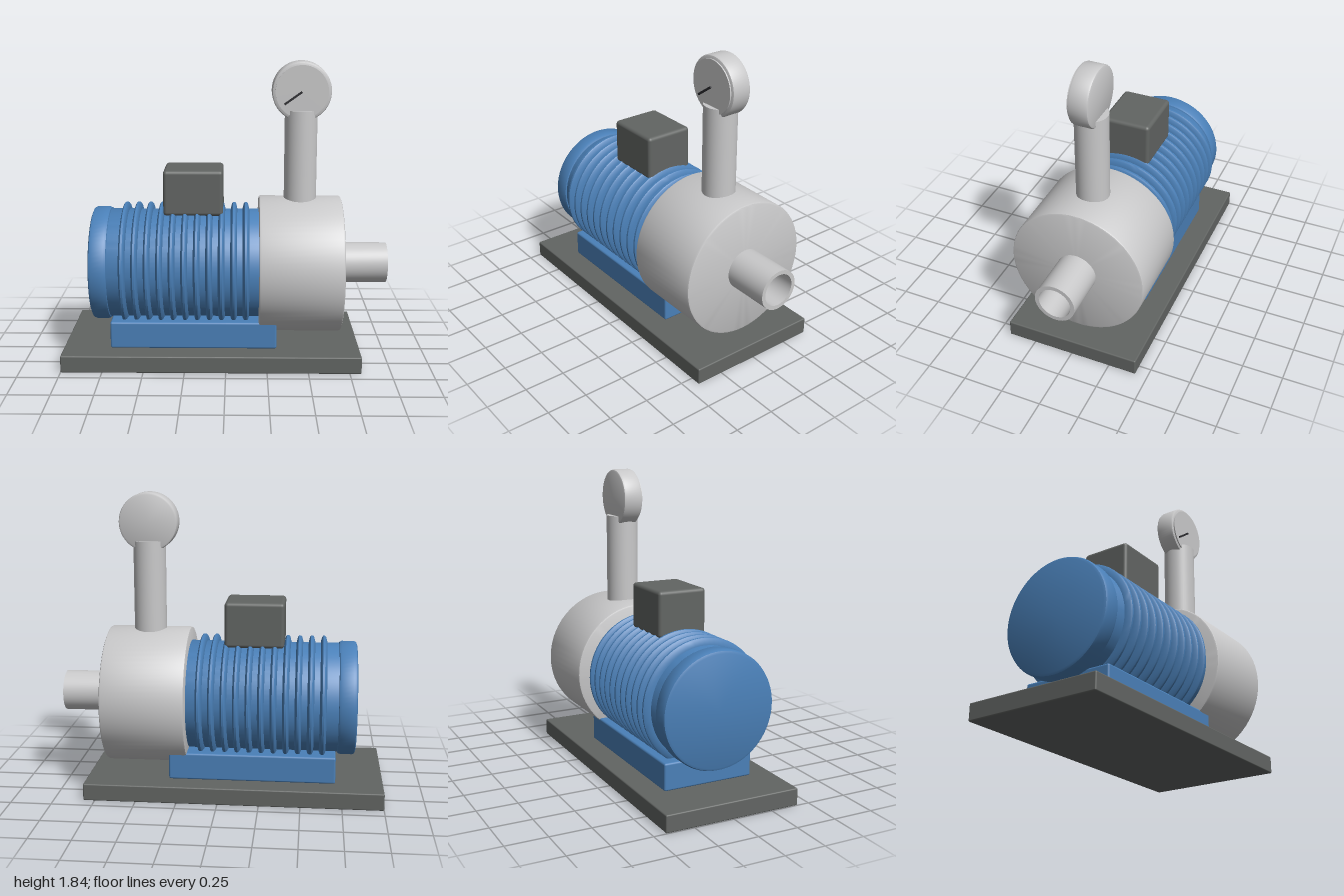
import * as THREE from 'three';
import { toCreasedNormals } from 'three/addons/utils/BufferGeometryUtils.js';
import { RoundedBoxGeometry } from 'three/addons/geometries/RoundedBoxGeometry.js';

const AXIS_Y = 0.575; // height of the motor and pump shaft
const PIPE_X = 0.455; // centre of the riser pipe and gauge

const material = (name, color) => {
  const m = new THREE.MeshStandardMaterial({ color });
  m.name = name;
  return m;
};

export function createModel() {
  const blue = material('motor blue', 0x4a80b8);
  const dark = material('dark grey', 0x626563);
  const light = material('light metal', 0xc9c9ca);
  const black = material('needle black', 0x2c2c30);

  const model = new THREE.Group();
  model.name = 'motorPump';

  const add = (name, geometry, mat, x, y, z, parent = model) => {
    const mesh = new THREE.Mesh(geometry, mat);
    mesh.name = name;
    mesh.position.set(x, y, z);
    parent.add(mesh);
    return mesh;
  };

  // Box given by its extents, with softened edges
  const box = (name, mat, [x0, x1], [y0, y1], [z0, z1], r) =>
    add(name, new RoundedBoxGeometry(x1 - x0, y1 - y0, z1 - z0, 3, r), mat,
      (x0 + x1) / 2, (y0 + y1) / 2, (z0 + z1) / 2);

  // Turned solid: points are [radius, position along the axis], rising
  const turned = (points, segments = 72) => toCreasedNormals(
    new THREE.LatheGeometry(points.map(([r, h]) => new THREE.Vector2(r, h)), segments), 0.6);

  // Closed drum with small rounded rims
  const drum = (r, h0, h1, b) => {
    const k = b * 0.3;
    return turned([[0, h0], [r - b, h0], [r - k, h0 + k], [r, h0 + b],
      [r, h1 - b], [r - k, h1 - k], [r - b, h1], [0, h1]]);
  };

  // Lay a turned solid along +x at shaft height
  const onShaft = (name, geometry, mat) =>
    add(name, geometry.rotateZ(-Math.PI / 2), mat, 0, AXIS_Y, 0);

  // Base plate and motor foot
  box('basePlate', dark, [-1, 0.82], [0, 0.105], [-0.425, 0.425], 0.008);
  box('motorFoot', blue, [-0.71, 0.31], [0.105, 0.272], [-0.285, 0.285], 0.012);

  // Motor body with end cap
  onShaft('motorBody', drum(0.34, -0.74, 0.22, 0.005), blue);
  onShaft('motorEndCap', drum(0.353, -0.83, -0.717, 0.02), blue);

  // Cooling fins
  for (let i = 0; i < 11; i++) {
    const x = -0.627 + i * 0.0748;
    onShaft('coolingFin', turned([[0.335, x - 0.021], [0.345, x - 0.02], [0.374, x - 0.013],
      [0.382, x - 0.006], [0.382, x + 0.006], [0.374, x + 0.013],
      [0.345, x + 0.02], [0.335, x + 0.021]]), blue);
  }

  // Terminal box
  box('terminalBox', dark, [-0.385, -0.02], [0.91, 1.19], [-0.155, 0.155], 0.022);

  // Pump housing and hollow side port
  onShaft('pumpHousing', drum(0.425, 0.2, 0.71, 0.012), light);
  const port = onShaft('sidePort', turned([[0.125, 0.7], [0.125, 1], [0.1, 1], [0.1, 0.712], [0, 0.712]], 48), light);
  port.position.y = 0.58;

  // Riser pipe
  add('riserPipe', new THREE.CylinderGeometry(0.1, 0.1, 0.6, 48), light, PIPE_X, 1.245, 0);

  // Pressure gauge facing forward
  const gauge = new THREE.Group();
  gauge.name = 'pressureGauge';
  gauge.position.set(PIPE_X, 1.66, 0);
  model.add(gauge);
  add('gaugeCase', drum(0.18, -0.062, 0.062, 0.014).rotateX(Math.PI / 2), light, 0, 0, 0, gauge);
  add('gaugeFace', new THREE.CylinderGeometry(0.16, 0.16, 0.009, 64).rotateX(Math.PI / 2), light, 0, 0, 0.0655, gauge);
  const needle = add('gaugeNeedle', new THREE.BoxGeometry(0.13, 0.012, 0.009), black, -0.053, -0.038, 0.0745, gauge);
  needle.rotation.z = 0.62;

  return model;
}
